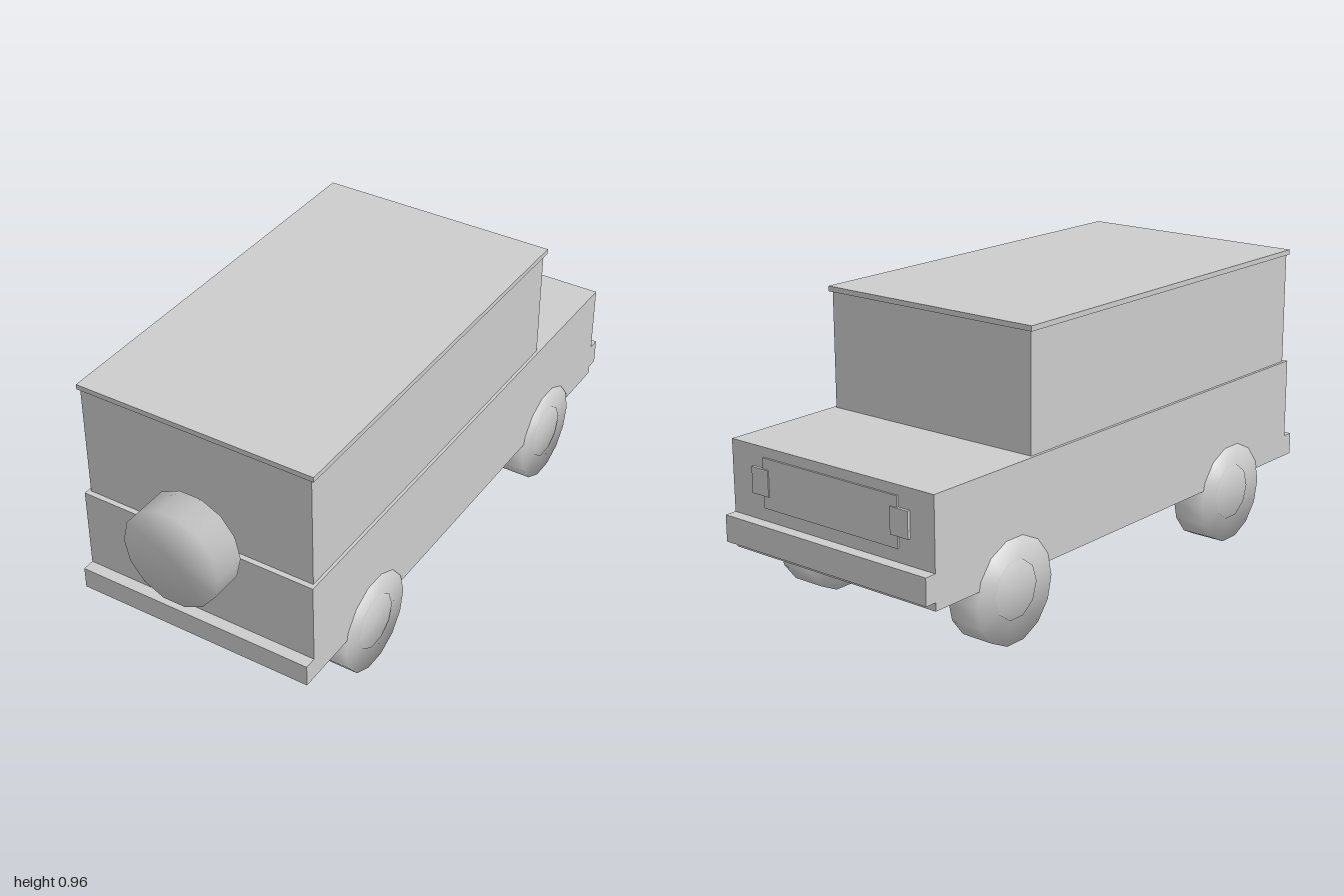
import * as THREE from 'three';
import { mergeVertices } from 'three/addons/utils/BufferGeometryUtils.js';

export function createModel() {
  const model = new THREE.Group();
  model.name = 'offRoadCar';
  const grey = new THREE.MeshStandardMaterial({ color: 0xcccccc });
  grey.name = 'lightGrey';

  const add = (name, geometry, x, y, z) => {
    const mesh = new THREE.Mesh(geometry, grey);
    mesh.name = name;
    mesh.position.set(x, y, z);
    model.add(mesh);
    return mesh;
  };

  // Box given by its limits on each axis
  const box = (name, x0, x1, y0, y1, z0, z1) =>
    add(name, new THREE.BoxGeometry(x1 - x0, y1 - y0, z1 - z0),
      (x0 + x1) / 2, (y0 + y1) / 2, (z0 + z1) / 2);

  // Low-sided disc along x, with normals shared between rim and caps
  const disc = (radius, width, sides) => {
    const g = new THREE.CylinderGeometry(radius, radius, width, sides);
    g.deleteAttribute('normal');
    g.deleteAttribute('uv');
    const smooth = mergeVertices(g.rotateZ(Math.PI / 2));
    smooth.computeVertexNormals();
    return smooth;
  };

  // Body, cabin and roof
  box('body', -0.413, 0.413, 0.213, 0.562, -0.96, 0.88);
  box('cabin', -0.403, 0.403, 0.562, 0.945, -0.524, 0.862);
  box('roof', -0.413, 0.413, 0.943, 0.96, -0.533, 0.867);

  // Bumpers
  box('spareWheelEndBumper', -0.413, 0.413, 0.213, 0.287, 0.88, 0.92);
  box('bonnetEndBumper', -0.413, 0.413, 0.24, 0.327, -1, -0.96);

  // Grille and headlamps at the bonnet end
  box('grille', -0.275, 0.275, 0.37, 0.53, -0.966, -0.96);
  for (const side of [-1, 1]) {
    const x = side * 0.285;
    box('headlamp', x - 0.035, x + 0.035, 0.41, 0.495, -0.97, -0.96);
  }

  // Wheels with hubs
  const tyre = disc(0.171, 0.115, 14);
  const hub = disc(0.095, 0.03, 10);
  for (const side of [-1, 1]) {
    for (const z of [0.537, -0.613]) {
      add('wheel', tyre, side * 0.3575, 0.167, z);
      add('hub', hub, side * 0.404, 0.171, z);
    }
  }

  // Spare wheel
  add('spareWheel', disc(0.17, 0.11, 14).rotateY(Math.PI / 2), 0, 0.572, 0.945);

  return model;
}
